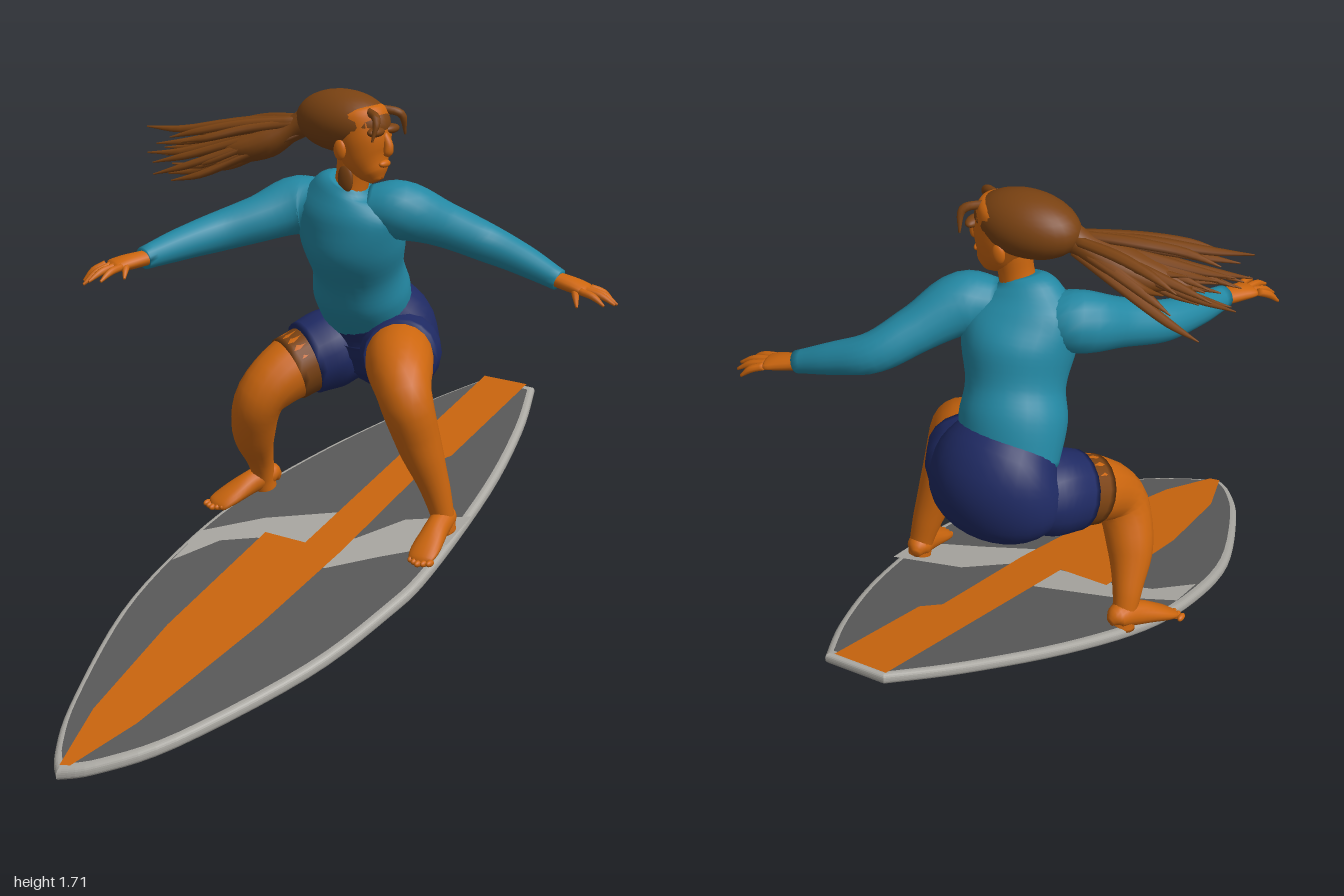
import * as THREE from 'three';

const mat = (name, color) => {
  const m = new THREE.MeshStandardMaterial({ color });
  m.name = name;
  return m;
};
const V = (a) => new THREE.Vector3(a[0], a[1], a[2]);
const X = [1, 0, 0], Z = [0, 0, 1];

// Smooth tube through sections [x, y, z, sideRadius, otherRadius], closed at both ends
function loft(sections, ref = X, seg = 18, steps = 5) {
  const path = new THREE.CatmullRomCurve3(sections.map(V));
  const size = new THREE.CatmullRomCurve3(sections.map((s) => new THREE.Vector3(s[3], s[4] ?? s[3], 0)), false, 'catmullrom', 0.4);
  const n = (sections.length - 1) * steps, pos = [], idx = [];
  for (let i = 0; i <= n; i++) {
    const c = path.getPoint(i / n), r = size.getPoint(i / n), t = path.getTangent(i / n);
    const s = V(ref).addScaledVector(t, -V(ref).dot(t)).normalize();
    const u = t.clone().cross(s);
    for (let j = 0; j < seg; j++) {
      const a = (j / seg) * Math.PI * 2;
      const p = c.clone().addScaledVector(s, Math.cos(a) * Math.max(r.x, 0.001)).addScaledVector(u, Math.sin(a) * Math.max(r.y, 0.001));
      pos.push(p.x, p.y, p.z);
      if (i < n) {
        const k = i * seg, q = (j + 1) % seg;
        idx.push(k + j, k + q, k + seg + j, k + q, k + seg + q, k + seg + j);
      }
    }
  }
  for (let j = 1; j < seg - 1; j++) {
    idx.push(0, j + 1, j, n * seg, n * seg + j, n * seg + j + 1);
  }
  const g = new THREE.BufferGeometry();
  g.setAttribute('position', new THREE.Float32BufferAttribute(pos, 3));
  g.setIndex(idx);
  g.computeVertexNormals();
  return g;
}

export function createModel() {
  const group = new THREE.Group();
  const skin = mat('orange', 0xcc660e), teal = mat('teal', 0x2388a3), navy = mat('navy', 0x1f2a63);
  const brown = mat('hair brown', 0x7a4212), dark = mat('deck grey', 0x5a5a5a), light = mat('rail grey', 0xaaa8a2);
  const add = (name, geo, material, parent = group) => {
    const m = new THREE.Mesh(geo, material);
    m.name = name;
    parent.add(m);
    return m;
  };
  const ball = (name, c, r, material) => {
    const m = add(name, new THREE.SphereGeometry(1, 28, 18), material);
    m.position.set(...c);
    m.scale.set(...r);
    return m;
  };

  // Surfboard: plan outline in x and z, sloped up toward the tail
  const sideL = [[-0.085, -1], [-0.21, -0.8], [-0.355, -0.5], [-0.45, -0.2], [-0.47, 0.08], [-0.43, 0.4], [-0.29, 0.77], [-0.19, 0.94], [-0.13, 1]];
  const sideR = [[-0.13, 1], [-0.04, 0.94], [0.1, 0.77], [0.265, 0.4], [0.322, 0.1], [0.327, -0.1], [0.265, -0.5], [0.18, -0.8], [0.095, -1]];
  const outline = (k) => [sideL, sideR].flatMap((side) =>
    new THREE.SplineCurve(side.map(([x, z]) => new THREE.Vector2(x, -z))).getPoints(40)
      .map((p) => new THREE.Vector2(-0.07 + (p.x + 0.07) * k, p.y * (k + 1) / 2)));
  const slope = new THREE.Matrix4().set(1, 0, 0, 0, 0, 1, -0.32, 0.338, 0, 0, 1, 0, 0, 0, 0, 1);
  const lay = (g, h) => g.rotateX(-Math.PI / 2).translate(0, h, 0).applyMatrix4(slope);
  const plate = (pts, h) => lay(new THREE.ShapeGeometry(new THREE.Shape(pts)), h);
  const plan = (pts) => pts.map(([x, z]) => new THREE.Vector2(x, -z));
  const board = new THREE.Group();
  board.name = 'surfboard';
  group.add(board);
  add('boardBody', lay(new THREE.ExtrudeGeometry(new THREE.Shape(outline(1)), {
    depth: 0.006, bevelThickness: 0.015, bevelSize: 0.015, bevelOffset: -0.015, bevelSegments: 5 }), -0.003), light, board);
  add('deck', plate(outline(0.945), 0.0195), dark, board);
  add('deckBand', plate(plan([[-0.45, 0], [-0.3, -0.12], [-0.1, -0.22], [0.03, -0.13], [0.12, -0.26], [0.3, -0.34],
    [0.31, -0.2], [0.15, -0.08], [0.03, 0.02], [-0.1, -0.06], [-0.26, -0.03], [-0.36, 0.02], [-0.44, 0.15]]), 0.0215), light, board);
  add('deckStripe', plate(plan([[-0.13, 0.985], [-0.2, 0.77], [-0.245, 0.4], [-0.25, -0.06], [-0.1, -0.06], [-0.088, -0.992],
    [0.07, -0.992], [0.065, -0.58], [0.025, -0.52], [0.03, -0.06], [0.015, 0.3], [-0.04, 0.77], [-0.1, 0.975]]), 0.0235), skin, board);

  // Torso and neck
  add('shirt', loft([[-0.12, 0.99, -0.4, 0.14, 0.11], [-0.105, 1.1, -0.345, 0.15, 0.135], [-0.09, 1.18, -0.305, 0.137, 0.13],
    [-0.075, 1.28, -0.26, 0.158, 0.145], [-0.07, 1.37, -0.225, 0.165, 0.11], [-0.06, 1.43, -0.21, 0.105, 0.072],
    [-0.05, 1.455, -0.205, 0.055, 0.05]], X, 28), teal);
  add('neck', loft([[-0.055, 1.4, -0.21, 0.055, 0.052], [-0.04, 1.47, -0.21, 0.05, 0.047], [-0.03, 1.54, -0.21, 0.055, 0.052]]), skin);

  // Shorts
  add('shorts', loft([[-0.11, 1.06, -0.36, 0.138, 0.115], [-0.1, 0.98, -0.42, 0.185, 0.145], [-0.1, 0.89, -0.43, 0.195, 0.135],
    [-0.1, 0.82, -0.42, 0.15, 0.1], [-0.1, 0.785, -0.41, 0.02, 0.02]], X, 28), navy);
  add('rightShortsLeg', loft([[-0.17, 0.91, -0.43, 0.1], [-0.22, 0.895, -0.35, 0.122], [-0.262, 0.87, -0.275, 0.112]]), navy);
  add('leftShortsLeg', loft([[-0.02, 0.92, -0.43, 0.1], [0.02, 0.92, -0.37, 0.122], [0.07, 0.925, -0.3, 0.108]]), navy);

  // Legs and the shaded cuff below the right hem
  add('rightLeg', loft([[-0.2, 0.9, -0.4, 0.09], [-0.27, 0.86, -0.25, 0.098], [-0.325, 0.775, -0.14, 0.077], [-0.375, 0.65, -0.165, 0.066],
    [-0.4, 0.54, -0.225, 0.042], [-0.405, 0.475, -0.25, 0.034], [-0.405, 0.43, -0.26, 0.034]]), skin);
  add('rightThighShade', loft([[-0.25, 0.875, -0.29, 0.101], [-0.285, 0.845, -0.222, 0.099]], X, 20), brown);
  add('leftLeg', loft([[0, 0.93, -0.4, 0.09], [0.09, 0.92, -0.265, 0.1], [0.172, 0.86, -0.175, 0.08], [0.205, 0.71, -0.205, 0.065],
    [0.24, 0.57, -0.24, 0.044], [0.258, 0.48, -0.255, 0.034], [0.262, 0.435, -0.26, 0.034]]), skin);

  // Feet resting on the sloped deck
  const foot = (name, [hx, hz], [tx, tz]) => {
    const at = (k, a, b) => {
      const z = hz + (tz - hz) * k;
      return [hx + (tx - hx) * k, 0.357 - 0.32 * z + b, z, a, b];
    };
    add(name, loft([at(0, 0.012, 0.015), at(0.12, 0.034, 0.034), at(0.4, 0.036, 0.036), at(0.75, 0.045, 0.024), at(0.93, 0.04, 0.015), at(1, 0.01, 0.006)]), skin);
    for (let i = 0; i < 5; i++) {
      const x = tx + (i - 2) * 0.016, z = tz - Math.abs(i - 2) * 0.006;
      ball(name + 'Toe', [x, 0.368 - 0.32 * z, z], [0.009, 0.01, 0.017], skin);
    }
  };
  foot('rightFoot', [-0.385, -0.3], [-0.485, -0.1]);
  foot('leftFoot', [0.25, -0.3], [0.29, -0.085]);

  // Sleeves
  add('rightSleeve', loft([[-0.13, 1.36, -0.22, 0.07], [-0.225, 1.36, -0.2, 0.086], [-0.3, 1.325, -0.1, 0.068], [-0.37, 1.295, 0, 0.058],
    [-0.41, 1.275, 0.12, 0.047], [-0.437, 1.255, 0.25, 0.033]]), teal);
  add('leftSleeve', loft([[0, 1.37, -0.24, 0.07], [0.08, 1.37, -0.28, 0.086], [0.165, 1.32, -0.38, 0.066], [0.25, 1.265, -0.465, 0.057],
    [0.36, 1.225, -0.49, 0.046], [0.48, 1.18, -0.5, 0.032]], Z), teal);

  // Hands: a flat palm, then a finger for each tip
  const hand = (name, wrist, palm, ref, tips) => {
    const w = V(wrist), p = V(palm), s = V(ref);
    const m = w.clone().lerp(p, 0.55);
    const start = w.clone().lerp(p, -0.25);
    add(name, loft([[...start, 0.026, 0.022], [...m, 0.036, 0.021], [...p, 0.04, 0.015], [...p.clone().lerp(w, -0.15), 0.02, 0.006]], ref, 14), skin);
    tips.forEach((t, i) => {
      const base = i < 4 ? p.clone().addScaledVector(s, (i - 1.5) * 0.02) : m.clone();
      const mid = base.clone().lerp(V(t), 0.55).add(new THREE.Vector3(0, 0.008, 0));
      add(name + 'Finger', loft([[...base, 0.011], [...mid, 0.0105], [...t, 0.004]], ref, 8, 4), skin);
    });
  };
  hand('rightHand', [-0.437, 1.255, 0.25], [-0.475, 1.245, 0.335], X,
    [[-0.545, 1.2, 0.385], [-0.515, 1.2, 0.42], [-0.485, 1.215, 0.43], [-0.445, 1.22, 0.425], [-0.415, 1.22, 0.36]]);
  hand('leftHand', [0.48, 1.18, -0.5], [0.563, 1.162, -0.512], Z,
    [[0.625, 1.125, -0.565], [0.652, 1.125, -0.54], [0.658, 1.13, -0.515], [0.64, 1.13, -0.485], [0.575, 1.125, -0.445]]);

  // Head, turned toward the model's left
  add('head', loft([[0.045, 1.462, -0.21, 0.02, 0.02], [0.033, 1.485, -0.21, 0.045, 0.044], [0.008, 1.53, -0.21, 0.073, 0.068],
    [-0.01, 1.59, -0.21, 0.09, 0.08], [-0.03, 1.65, -0.21, 0.09, 0.08], [-0.04, 1.69, -0.21, 0.03, 0.03]], X, 24), skin);
  add('nose', loft([[0.068, 1.605, -0.21, 0.008], [0.083, 1.57, -0.21, 0.015, 0.013], [0.082, 1.548, -0.21, 0.013, 0.015], [0.07, 1.54, -0.21, 0.004]], X, 10), skin);
  ball('lips', [0.071, 1.515, -0.21], [0.012, 0.011, 0.024], skin);
  ball('hairCap', [-0.075, 1.623, -0.21], [0.153, 0.09, 0.096], brown);
  for (const s of [-1, 1]) {
    ball('brow', [0.066, 1.61, -0.21 + s * 0.036], [0.019, 0.014, 0.034], brown);
    ball('ear', [-0.03, 1.555, -0.21 + s * 0.077], [0.02, 0.03, 0.012], skin);
    add('fringe', loft([[0.035, 1.665, -0.21 + s * 0.03, 0.012], [0.085, 1.65, -0.21 + s * 0.06, 0.012], [0.085, 1.59, -0.21 + s * 0.08, 0.003]], Z, 8), brown);
  }
  ball('neckLock', [-0.035, 1.465, -0.167], [0.026, 0.042, 0.012], brown);

  // Ponytail: a tapering core with loose strands fanning out
  add('ponytail', loft([[-0.17, 1.62, -0.2, 0.04, 0.05], [-0.23, 1.59, -0.185, 0.04, 0.035], [-0.31, 1.545, -0.155, 0.06, 0.05],
    [-0.4, 1.515, -0.12, 0.06, 0.04], [-0.5, 1.49, -0.09, 0.01, 0.01]], Z), brown);
  let seed = 7;
  const rnd = () => (seed = (seed * 16807) % 2147483647) / 2147483647;
  for (let i = 0; i < 30; i++) {
    const f = rnd() - 0.5, h = rnd() - 0.5, len = 0.25 + rnd() * 0.18;
    const x = -0.22 - len, y = 1.5 + h * 0.15, z = -0.1 + f * 0.27;
    add('hairStrand', loft([[-0.21, 1.595 + h * 0.04, -0.19 + f * 0.04, 0.014],
      [-0.22 - len * 0.4, 1.555 + h * 0.11, -0.15 + f * 0.13, 0.019, 0.014],
      [-0.22 - len * 0.75, 1.515 + h * 0.15, -0.115 + f * 0.22, 0.014, 0.011],
      [x, y + (rnd() - 0.5) * 0.04, z, 0.002]], Z, 7, 4), brown);
  }
  return group;
}
